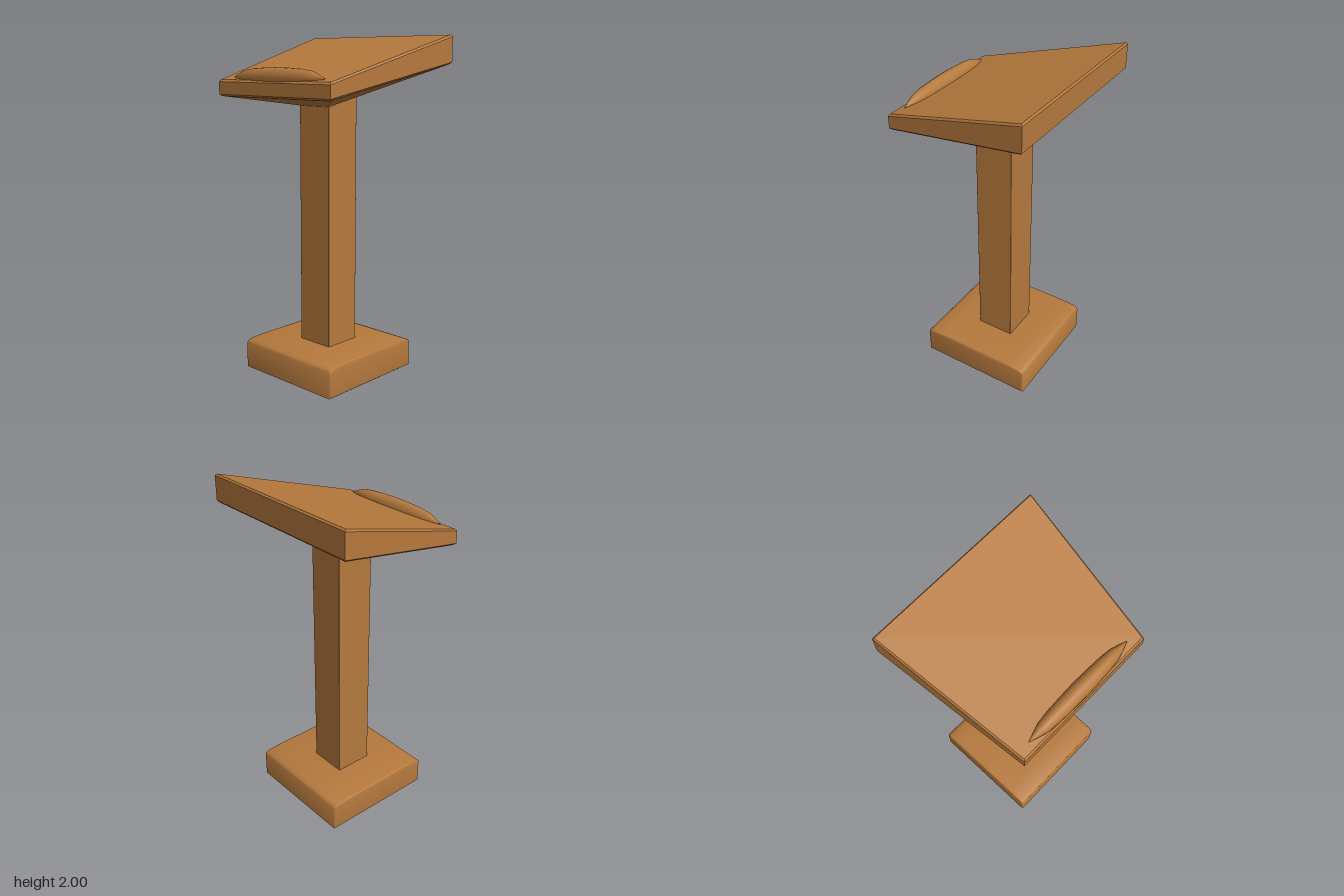
import * as THREE from 'three';
import { toCreasedNormals } from 'three/addons/utils/BufferGeometryUtils.js';
import { RoundedBoxGeometry } from 'three/addons/geometries/RoundedBoxGeometry.js';

// Closed loft through four-cornered rings, listed from bottom to top.
// Each ring: [xLow, yLow, zLow, xHigh, yHigh, zHigh] (half widths in z).
function loft(rings) {
  const pos = [], idx = [];
  for (const [x0, y0, z0, x1, y1, z1] of rings) {
    pos.push(x0, y0, z0, x1, y1, z1, x1, y1, -z1, x0, y0, -z0);
  }
  for (let r = 0; r < rings.length - 1; r++) {
    for (let i = 0; i < 4; i++) {
      const a = r * 4 + i, b = r * 4 + (i + 1) % 4;
      idx.push(a, b, b + 4, a, b + 4, a + 4);
    }
  }
  const t = (rings.length - 1) * 4;
  idx.push(0, 2, 1, 0, 3, 2, t, t + 1, t + 2, t, t + 2, t + 3);
  const geo = new THREE.BufferGeometry();
  geo.setAttribute('position', new THREE.Float32BufferAttribute(pos, 3));
  geo.setIndex(idx);
  return toCreasedNormals(geo, 0.5);
}

export function createModel() {
  const group = new THREE.Group();
  const wood = new THREE.MeshStandardMaterial({ color: 0xb5793d });
  wood.name = 'wood';
  const add = (name, geo) => {
    const mesh = new THREE.Mesh(geo, wood);
    mesh.name = name;
    group.add(mesh);
    return mesh;
  };

  // Foot: slab with softened top corners
  const profile = new THREE.Shape([
    [-0.355, 0], [0.355, 0], [0.355, 0.155], [0.347, 0.166], [0.325, 0.174], [0.24, 0.18],
    [-0.24, 0.18], [-0.325, 0.174], [-0.347, 0.166], [-0.355, 0.155],
  ].map(([x, y]) => new THREE.Vector2(x, y)));
  const foot = new THREE.ExtrudeGeometry(profile, {
    depth: 0.69, bevelThickness: 0.01, bevelSize: 0.01, bevelOffset: -0.01, bevelSegments: 3,
  });
  foot.translate(0, 0, -0.345);
  add('foot', toCreasedNormals(foot, 0.7));

  // Square column
  add('column', new RoundedBoxGeometry(0.234, 1.54, 0.234, 2, 0.004)).position.y = 0.94;

  // Sloping desk: tapered underside, rim and softened top edge
  add('desk', loft([
    [-0.115, 1.6, 0.115, 0.115, 1.69, 0.115],
    [-0.435, 1.655, 0.433, 0.435, 1.837, 0.54],
    [-0.447, 1.665, 0.445, 0.445, 1.848, 0.55],
    [-0.447, 1.737, 0.445, 0.445, 1.991, 0.55],
    [-0.437, 1.75, 0.436, 0.436, 2.0, 0.541],
  ]));

  // Rounded book stop with pointed ends, along the low edge
  const half = [[0, 0.365], [0.016, 0.32], [0.033, 0.265], [0.041, 0.19], [0.045, 0.1]];
  const outline = [
    ...half.map(([r, z]) => [r, -z]), [0.047, 0], ...half.slice().reverse(),
  ].map(([r, z]) => new THREE.Vector2(r, z));
  const stop = new THREE.LatheGeometry(outline, 20);
  stop.rotateX(Math.PI / 2);
  stop.scale(1, 1.2, 1);
  add('bookStop', stop).position.set(-0.398, 1.765, 0);

  return group;
}
